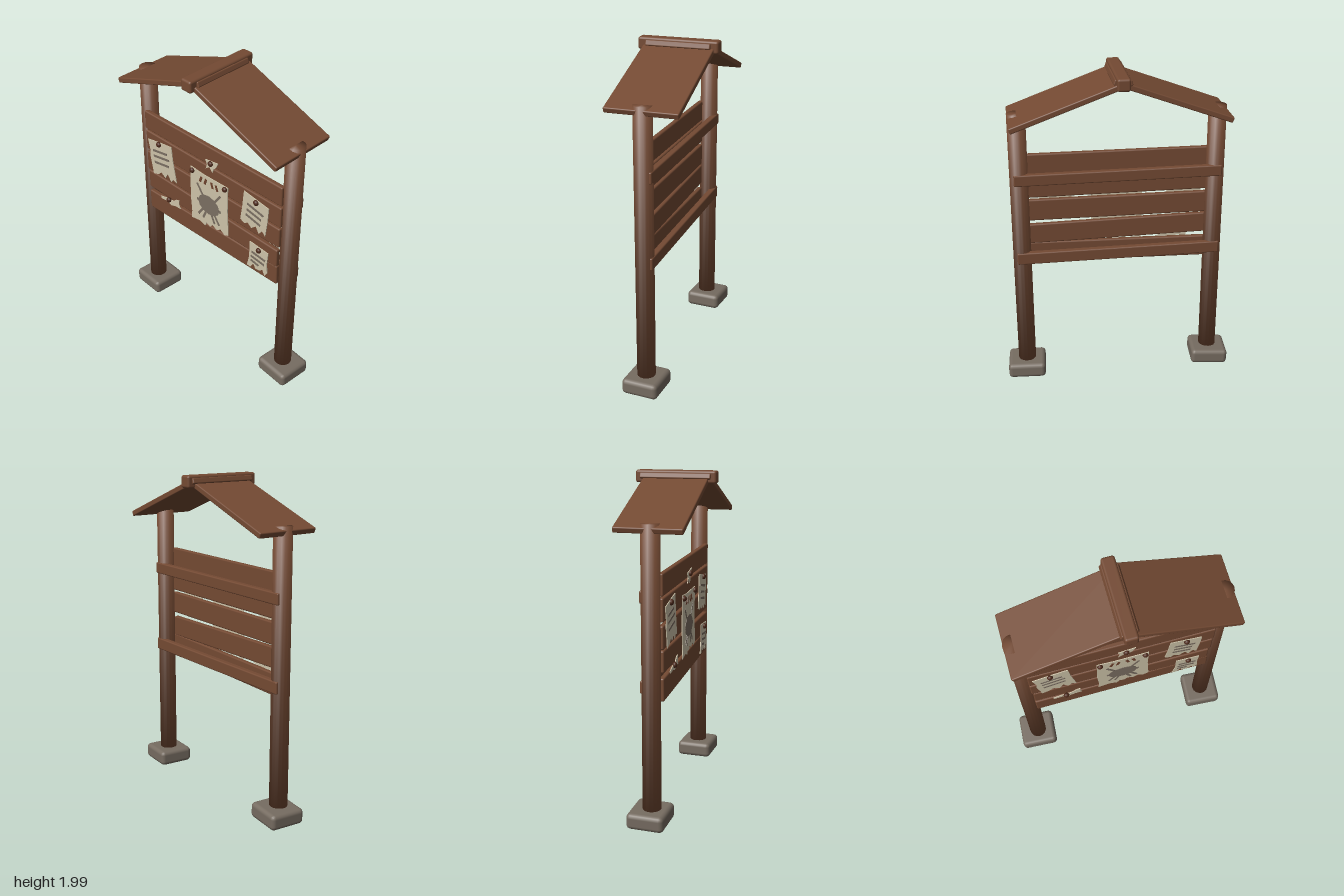
import * as THREE from 'three';
import { RoundedBoxGeometry } from 'three/addons/geometries/RoundedBoxGeometry.js';

const mat = (name, color) => {
  const m = new THREE.MeshStandardMaterial({ color });
  m.name = name;
  return m;
};

export function createModel() {
  const wood = mat('wood', 0x744a33);
  const stone = mat('stone', 0x766c61);
  const paper = mat('paper', 0xcdc3a9);
  const ink = mat('ink', 0x7a6e61);
  const rust = mat('rust', 0x6e412c);
  const pinBrown = mat('pinBrown', 0x4e2a1b);

  const model = new THREE.Group();
  model.name = 'noticeBoard';

  const add = (name, geometry, material, x = 0, y = 0, z = 0, parent = model) => {
    const mesh = new THREE.Mesh(geometry, material);
    mesh.name = name;
    mesh.position.set(x, y, z);
    parent.add(mesh);
    return mesh;
  };
  const block = (w, h, d, r) => new RoundedBoxGeometry(w, h, d, 2, r);

  // Posts: single-span cylinders with normals softened over both ends
  const postGeometry = () => {
    const h = 1.675, r = 0.055;
    const g = new THREE.CylinderGeometry(r, r, h, 16);
    const p = g.attributes.position, n = new THREE.Vector3();
    for (let i = 0; i < p.count; i++) {
      n.set(p.getX(i), Math.sign(p.getY(i)) * r * 0.8, p.getZ(i)).normalize();
      g.attributes.normal.setXYZ(i, n.x, n.y, n.z);
    }
    return g;
  };
  for (const s of [-1, 1]) {
    const side = s > 0 ? 'left' : 'right';
    add(side + 'Post', postGeometry(), wood, s * 0.595, 0.9175, 0);
    const foot = add(side + 'FootStone', block(0.235, 0.096, 0.225, 0.026), stone,
      s * 0.596, 0.06, s > 0 ? 0 : -0.01);
    foot.rotation.set(0, -0.07, s > 0 ? 0 : 0.045);
  }

  // Front boards: x, y, width, height, tilt
  [
    [-0.003, 1.42, 1.145, 0.128, 0.005],
    [0, 1.275, 1.14, 0.138, 0.002],
    [-0.002, 1.121, 1.135, 0.137, 0.006],
    [-0.003, 0.971, 1.115, 0.128, -0.01],
    [0, 0.827, 1.12, 0.136, 0.025],
  ].forEach(([x, y, w, h, tilt], i) => {
    add('board' + (i + 1), block(w, h, 0.032, 0.009), wood, x, y, 0.049).rotation.z = tilt;
  });

  // Back rails
  add('upperRail', block(1.255, 0.07, 0.04, 0.008), wood, 0, 1.355, -0.038);
  add('lowerRail', block(1.255, 0.075, 0.04, 0.008), wood, 0, 0.842, -0.038);

  // Roof panels cross each other just past the ridge
  for (const [s, depth, z] of [[1, 0.43, -0.005], [-1, 0.395, -0.003]]) {
    const panel = add(s > 0 ? 'leftRoofPanel' : 'rightRoofPanel',
      block(0.738, 0.034, depth, 0.007), wood, s * 0.296, 1.845, z);
    panel.rotation.z = -s * 0.35;
  }
  add('ridgeBeam', block(0.078, 0.074, 0.49, 0.014), wood, 0, 1.963, -0.002);

  // Paper sheets and their thin markings
  const sheet = (name, points) => {
    const shape = new THREE.Shape(points.map(([x, y]) => new THREE.Vector2(x, y)));
    add(name, new THREE.ExtrudeGeometry(shape, { depth: 0.005, bevelEnabled: false }),
      paper, 0, 0, 0.067);
  };
  const stroke = (name, x1, y1, x2, y2, width = 0.015, material = ink) => {
    const len = Math.hypot(x2 - x1, y2 - y1);
    const m = add(name, new THREE.BoxGeometry(len, width, 0.003), material,
      (x1 + x2) / 2, (y1 + y2) / 2, 0.0732);
    m.rotation.z = Math.atan2(y2 - y1, x2 - x1);
  };

  sheet('upperRightNotice', [[-0.545, 1.29], [-0.44, 1.31], [-0.33, 1.327], [-0.318, 1.22],
    [-0.29, 1.075], [-0.318, 1.088], [-0.34, 1.06], [-0.37, 1.105], [-0.395, 1.063],
    [-0.43, 1.088], [-0.46, 1.06], [-0.505, 1.045], [-0.515, 1.1], [-0.53, 1.17], [-0.525, 1.21]]);
  sheet('upperLeftNotice', [[0.29, 1.327], [0.485, 1.3], [0.478, 1.2], [0.465, 1.09],
    [0.44, 1.115], [0.415, 1.08], [0.39, 1.122], [0.355, 1.09], [0.325, 1.115],
    [0.3, 1.095], [0.265, 1.11], [0.278, 1.2]]);
  sheet('centrePoster', [[-0.158, 1.278], [-0.05, 1.27], [0.16, 1.275], [0.157, 1.1],
    [0.167, 0.92], [0.135, 0.905], [0.1, 0.93], [0.07, 0.907], [0.03, 0.925], [0.01, 0.9],
    [-0.02, 0.915], [-0.035, 0.885], [-0.08, 0.9], [-0.155, 0.886], [-0.15, 0.94], [-0.16, 1.05]]);
  sheet('topScrap', [[-0.028, 1.39], [0.078, 1.407], [0.058, 1.365], [0.045, 1.358],
    [0.03, 1.32], [0.005, 1.35], [-0.025, 1.325], [-0.015, 1.36]]);
  sheet('lowerRightScrap', [[-0.445, 0.895], [-0.39, 0.91], [-0.33, 0.915], [-0.3, 0.94],
    [-0.27, 0.948], [-0.275, 0.915], [-0.262, 0.888], [-0.31, 0.885], [-0.345, 0.872],
    [-0.385, 0.885], [-0.44, 0.878]]);
  sheet('lowerLeftNotice', [[0.345, 0.985], [0.495, 0.975], [0.487, 0.89], [0.492, 0.82],
    [0.472, 0.788], [0.455, 0.825], [0.43, 0.805], [0.4, 0.8], [0.38, 0.827],
    [0.355, 0.79], [0.328, 0.792], [0.345, 0.87]]);

  // Written lines
  [
    [-0.5, 1.228, -0.37, 1.252], [-0.495, 1.188, -0.352, 1.215], [-0.488, 1.143, -0.355, 1.168],
    [0.32, 1.253, 0.447, 1.228], [0.317, 1.21, 0.43, 1.19], [0.31, 1.17, 0.425, 1.148],
    [0.365, 0.917, 0.475, 0.907], [0.36, 0.882, 0.468, 0.871], [0.36, 0.85, 0.422, 0.84],
  ].forEach((l) => stroke('writtenLine', ...l));

  // Poster picture: round bug with legs, and short dashes above
  const body = add('bugBody', new THREE.CylinderGeometry(1, 1, 1, 12), ink, 0, 1.063, 0.0735);
  body.scale.set(0.09, 0.003, 0.068);
  body.rotation.x = Math.PI / 2;
  for (const s of [-1, 1]) {
    stroke('bugFeeler', s * 0.1, 1.182, s * 0.045, 1.105, 0.014);
    stroke('bugHindLeg', s * 0.09, 0.955, s * 0.04, 1.025, 0.014);
    stroke('bugInnerLeg', s * 0.05, 0.945, s * 0.018, 1.015, 0.014);
    stroke('bugSide', s * 0.075, 1.065, s * 0.1, 1.062, 0.02);
    stroke('posterDash', s * 0.075, 1.205, s * 0.06, 1.245, 0.016, rust);
    stroke('posterDash', s * 0.035, 1.205, s * 0.022, 1.245, 0.016, rust);
  }

  // Pins
  const pinGeometry = new THREE.SphereGeometry(0.018, 12, 8);
  [[-0.44, 1.297], [0.39, 1.297], [-0.14, 1.257], [0.138, 1.257], [0.02, 1.382],
    [-0.363, 0.91], [0.423, 0.96]].forEach(([x, y]) => {
    add('pin', pinGeometry, pinBrown, x, y, 0.077).scale.z = 0.8;
  });

  return model;
}
